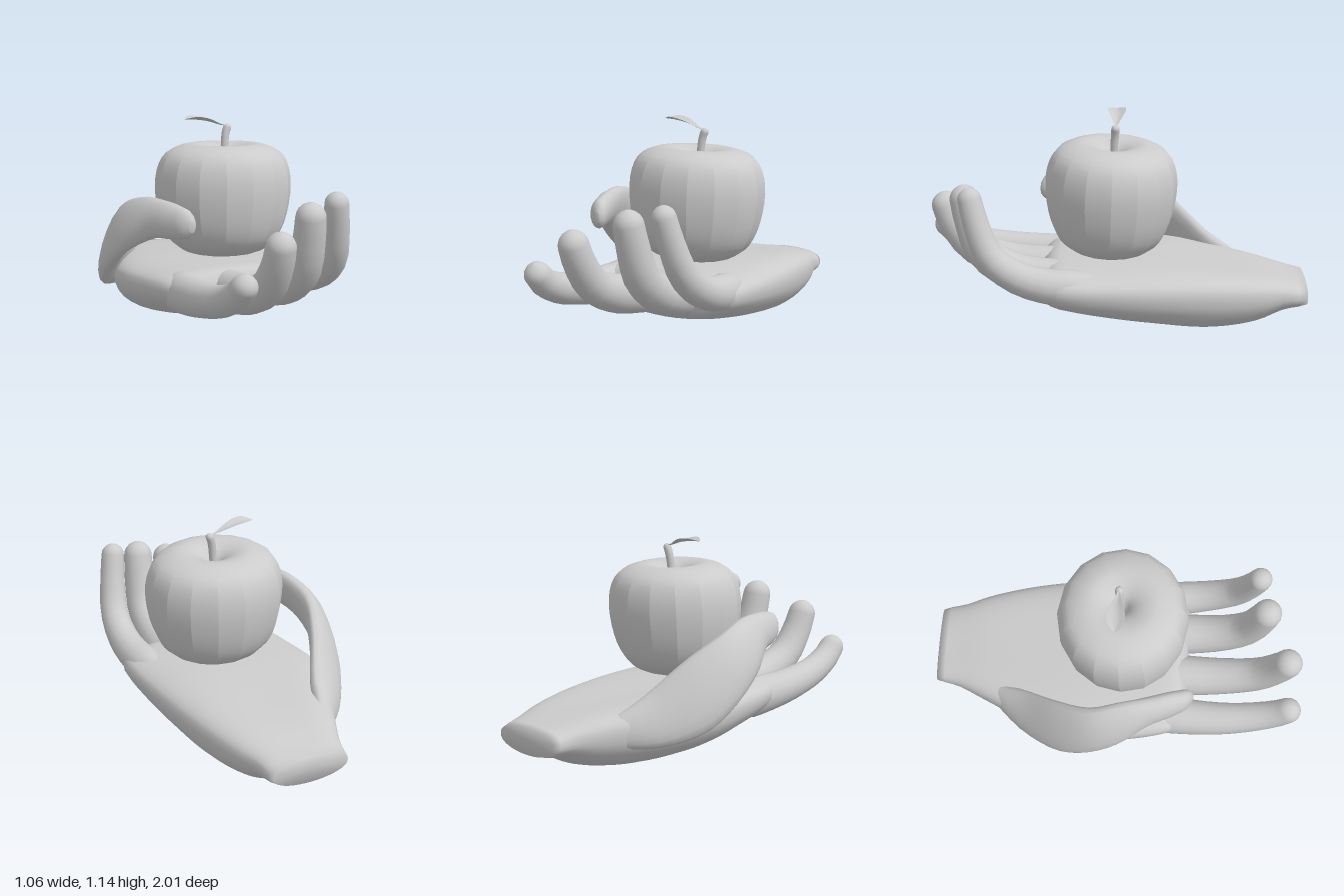
import * as THREE from 'three';
import { toCreasedNormals, mergeVertices } from 'three/addons/utils/BufferGeometryUtils.js';

const grey = new THREE.MeshStandardMaterial({ color: 0xcccccc });
const greyBoth = new THREE.MeshStandardMaterial({ color: 0xcccccc, side: THREE.DoubleSide });

// Skin a list of closed rings (counter-clockwise seen from the far end) and cap both ends.
function loft(rings, startCap, endCap) {
  const n = rings[0].length;
  const pos = [];
  const index = [];
  rings.forEach((ring) => ring.forEach((p) => pos.push(p.x, p.y, p.z)));
  for (let i = 0; i < rings.length - 1; i++) {
    for (let j = 0; j < n; j++) {
      const a = i * n + j, b = i * n + (j + 1) % n;
      index.push(a, b, a + n, b, b + n, a + n);
    }
  }
  const s = pos.length / 3, last = (rings.length - 1) * n;
  pos.push(startCap.x, startCap.y, startCap.z, endCap.x, endCap.y, endCap.z);
  for (let j = 0; j < n; j++) {
    const k = (j + 1) % n;
    index.push(s, k, j, s + 1, last + j, last + k);
  }
  const g = new THREE.BufferGeometry();
  g.setAttribute('position', new THREE.Float32BufferAttribute(pos, 3));
  g.setIndex(index);
  g.computeVertexNormals();
  return g;
}

// Smoothly interpolate rows of [z, ...values] at any z.
function table(rows) {
  const it = new THREE.CubicInterpolant(rows.map((r) => r[0]), rows.flatMap((r) => r.slice(1)), rows[0].length - 1);
  return (z) => Array.from(it.evaluate(z));
}

function add(parent, name, geometry, material = grey) {
  const m = new THREE.Mesh(geometry, material);
  m.name = name;
  parent.add(m);
  return m;
}

// Palm: bowl-shaped underside, flatter hollowed top, narrowing to the wrist.
function palmGeometry() {
  // z, left edge, right edge, bottom, widest height, top, hollow
  const at = table([
    [-1, -0.11, 0.31, 0.13, 0.2, 0.27, 0],
    [-0.96, -0.12, 0.325, 0.12, 0.2, 0.285, 0.01],
    [-0.88, -0.14, 0.34, 0.1, 0.21, 0.31, 0.02],
    [-0.75, -0.2, 0.39, 0.04, 0.22, 0.345, 0.03],
    [-0.5, -0.32, 0.455, 0.0, 0.24, 0.385, 0.04],
    [-0.2, -0.43, 0.5, 0.025, 0.26, 0.405, 0.03],
    [0.1, -0.41, 0.52, 0.08, 0.28, 0.4, 0.01],
    [0.26, -0.38, 0.52, 0.12, 0.29, 0.4, 0.01],
    [0.34, -0.35, 0.5, 0.145, 0.29, 0.385, 0],
    [0.39, -0.3, 0.44, 0.185, 0.28, 0.345, 0],
  ]);
  const rings = [];
  for (let i = 0; i <= 32; i++) {
    const z = -1 + 1.39 * i / 32;
    const [xl, xr, yb, yw, yt, dip] = at(z);
    const ring = [];
    for (let j = 0; j < 40; j++) {
      const a = j / 40 * Math.PI * 2, c = Math.cos(a), s = Math.sin(a);
      const x = (xl + xr) / 2 + c * (xr - xl) / 2;
      const y = s < 0 ? yw - Math.pow(-s, 0.9) * (yw - yb)
        : yw + Math.pow(s, 0.75) * (yt - yw) - dip * s ** 4;
      ring.push(new THREE.Vector3(x, y, z));
    }
    rings.push(ring);
  }
  return loft(rings, new THREE.Vector3(0.1, 0.2, -0.985), new THREE.Vector3(0.08, 0.27, 0.4));
}

// Finger: elliptical tube along a curled centre line, with a narrow buried root and a rounded tip.
function fingerGeometry(points, w0, h0, r1) {
  const curve = new THREE.CatmullRomCurve3(points.map((p) => new THREE.Vector3(...p)));
  const length = curve.getLength();
  const us = [];
  for (let i = 0; i <= 14; i++) us.push(i / 14 * (1 - r1 / length));
  for (let i = 1; i <= 5; i++) us.push(1 - r1 / length * (1 - Math.sin(i / 5.4 * Math.PI / 2)));
  const rings = us.map((u) => {
    const c = curve.getPointAt(u), t = curve.getTangentAt(u);
    const side = new THREE.Vector3(1, 0, 0).addScaledVector(t, -t.x).normalize();
    const up = t.clone().cross(side);
    const d = Math.min(1, (1 - u) * length / r1);
    const round = Math.sqrt(1 - (1 - d) ** 2) * Math.min(1, 0.4 + 3 * u);
    const e = Math.pow(u, 0.75);
    const w = THREE.MathUtils.lerp(w0, r1, e) * round, h = THREE.MathUtils.lerp(h0, r1, e) * round;
    return Array.from({ length: 16 }, (_, j) => {
      const a = j / 16 * Math.PI * 2;
      return c.clone().addScaledVector(side, Math.cos(a) * w).addScaledVector(up, Math.sin(a) * h);
    });
  });
  return loft(rings, curve.getPointAt(0), curve.getPointAt(1));
}

// Thumb with its web: tall thin sections that lean inwards at the top.
function thumbGeometry() {
  // z, centre x, centre y, half thickness, half height, lean
  const at = table([
    [-0.76, -0.1, 0.22, 0.03, 0.03, 0],
    [-0.62, -0.21, 0.24, 0.06, 0.09, 0.02],
    [-0.5, -0.285, 0.28, 0.08, 0.125, 0.05],
    [-0.3, -0.4, 0.4, 0.08, 0.18, 0.06],
    [-0.12, -0.45, 0.515, 0.07, 0.175, 0.05],
    [0.05, -0.425, 0.605, 0.065, 0.14, 0.05],
    [0.2, -0.365, 0.65, 0.062, 0.1, 0.02],
    [0.33, -0.315, 0.65, 0.058, 0.085, 0.01],
    [0.4, -0.285, 0.645, 0.042, 0.062, 0],
    [0.42, -0.275, 0.64, 0.018, 0.03, 0],
  ]);
  const rings = [];
  for (let i = 0; i <= 30; i++) {
    const z = -0.76 + 1.18 * Math.sin(i / 30 * Math.PI / 2);
    const [x, y, w, h, lean] = at(z);
    rings.push(Array.from({ length: 18 }, (_, j) => {
      const a = j / 18 * Math.PI * 2, s = Math.sin(a);
      return new THREE.Vector3(x + Math.cos(a) * w + s * lean, y + s * h, z);
    }));
  }
  return loft(rings, new THREE.Vector3(-0.1, 0.22, -0.77), new THREE.Vector3(-0.272, 0.64, 0.425));
}

function buildApple() {
  const apple = new THREE.Group();
  apple.name = 'apple';

  // Fruit: sixteen-sided body with a dimple at each end
  const profile = new THREE.SplineCurve([
    [0.001, 0.44], [0.06, 0.413], [0.13, 0.4], [0.22, 0.425], [0.295, 0.49], [0.342, 0.6], [0.364, 0.75],
    [0.35, 0.87], [0.3, 0.95], [0.2, 0.99], [0.12, 0.98], [0.06, 0.945], [0.025, 0.895], [0.001, 0.87],
  ].map((p) => new THREE.Vector2(...p))).getPoints(36);
  const lathe = new THREE.LatheGeometry(profile, 16);
  lathe.deleteAttribute('uv');
  lathe.deleteAttribute('normal');
  const body = add(apple, 'fruit', toCreasedNormals(mergeVertices(lathe), 0.32));
  body.position.set(0.095, 0, 0.033);
  body.scale.set(1.015, 1, 0.955);
  body.geometry.translate(0, -0.7, 0).rotateX(-0.04).rotateZ(-0.02).translate(0, 0.7, 0);

  // Stem: bent tube, wider at the top
  add(apple, 'stem', fingerGeometry(
    [[0.105, 0.86, 0.02], [0.112, 0.98, 0.015], [0.122, 1.05, 0.01], [0.14, 1.092, 0.008]], 0.017, 0.017, 0.022));

  // Leaf: folded blade, widest towards its tip
  const leaf = new THREE.PlaneGeometry(1, 1, 16, 4);
  const spine = new THREE.CatmullRomCurve3([
    [0.135, 1.082, 0.005], [0.09, 1.09, 0.005], [0.02, 1.112, 0], [-0.06, 1.125, 0], [-0.118, 1.128, 0],
  ].map((p) => new THREE.Vector3(...p)));
  const pos = leaf.attributes.position;
  for (let i = 0; i < pos.count; i++) {
    const t = 0.5 - pos.getX(i), v = pos.getY(i) * 2;
    const c = spine.getPoint(t);
    const w = 0.004 + 0.044 * Math.sin(Math.PI * Math.pow(t, 1.9));
    pos.setXYZ(i, c.x, c.y + Math.abs(v) * w * 0.4, c.z + v * w);
  }
  leaf.computeVertexNormals();
  add(apple, 'leaf', leaf, greyBoth);
  return apple;
}

export function createModel() {
  const model = new THREE.Group();
  model.name = 'handHoldingApple';
  const hand = new THREE.Group();
  hand.name = 'hand';
  model.add(hand, buildApple());

  add(hand, 'palm', palmGeometry());
  add(hand, 'thumb', thumbGeometry());

  // Fingers: centre line, base half width, base half height, tip radius
  const fingers = {
    indexFinger: [[[-0.22, 0.26, 0.05], [-0.262, 0.27, 0.33], [-0.275, 0.3, 0.6], [-0.265, 0.345, 0.79], [-0.255, 0.415, 0.92], [-0.25, 0.5, 0.98]], 0.125, 0.13, 0.066],
    middleFinger: [[[-0.01, 0.25, 0.05], [-0.025, 0.265, 0.33], [-0.03, 0.3, 0.58], [-0.035, 0.385, 0.78], [-0.04, 0.53, 0.89], [-0.05, 0.685, 0.945]], 0.138, 0.14, 0.074],
    ringFinger: [[[0.21, 0.26, 0.05], [0.215, 0.275, 0.33], [0.212, 0.33, 0.56], [0.208, 0.435, 0.705], [0.2, 0.6, 0.77], [0.188, 0.79, 0.81]], 0.138, 0.135, 0.075],
    littleFinger: [[[0.36, 0.29, 0.03], [0.415, 0.305, 0.31], [0.425, 0.36, 0.51], [0.415, 0.46, 0.645], [0.39, 0.62, 0.715], [0.358, 0.822, 0.765]], 0.115, 0.115, 0.06],
  };
  for (const [name, args] of Object.entries(fingers)) add(hand, name, fingerGeometry(...args));

  return model;
}
